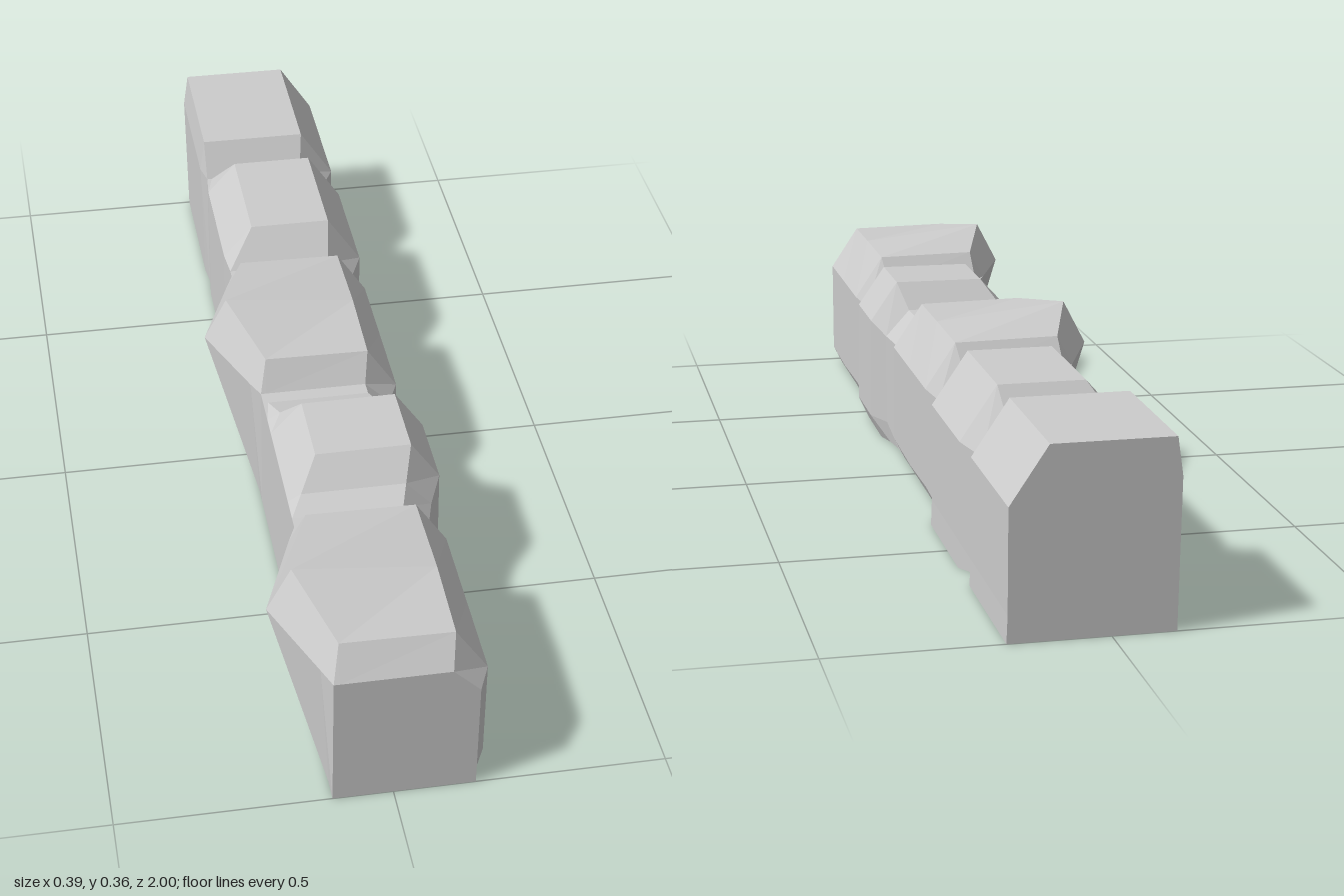
import * as THREE from 'three';

// Cross-section outlines, clockwise from the bottom left corner:
// base, left shoulder, top left, top right, right shoulder, right foot, base right
const groove = [[-0.11, 0], [-0.11, 0.275], [-0.1, 0.275], [0.1, 0.275], [0.15, 0.225], [0.15, 0.04], [0.15, 0]];
const bigEdge = [[-0.11, 0], [-0.126, 0.275], [-0.095, 0.333], [0.11, 0.33], [0.17, 0.24], [0.17, 0.04], [0.15, 0]];
const bigPeak = [[-0.11, 0], [-0.195, 0.275], [-0.15, 0.362], [0.112, 0.333], [0.17, 0.24], [0.17, 0.035], [0.15, 0]];
const ramp = [[-0.11, 0], [-0.11, 0.275], [-0.085, 0.29], [0.115, 0.29], [0.165, 0.235], [0.165, 0.045], [0.158, 0]];
const small = [[-0.11, 0], [-0.11, 0.275], [-0.05, 0.341], [0.133, 0.342], [0.19, 0.26], [0.193, 0.05], [0.17, 0]];
const plain = [[-0.115, 0], [-0.115, 0.275], [-0.055, 0.343], [0.11, 0.343], [0.18, 0.24], [0.181, 0.05], [0.183, 0]];
const rear = [[-0.115, 0], [-0.12, 0.275], [-0.11, 0.345], [0.11, 0.345], [0.18, 0.24], [0.181, 0.05], [0.183, 0]];

// Stations from front to back
const stations = [
  // front stone with a bulge on its left edge
  [1, groove], [0.96, bigEdge], [0.79, bigPeak], [0.612, bigEdge], [0.575, groove],
  // small stone with sloping ends
  [0.55, groove], [0.5, ramp], [0.45, small], [0.29, small], [0.245, ramp], [0.19, groove],
  // middle bulging stone
  [0.16, groove], [0.125, bigEdge], [-0.05, bigPeak], [-0.222, bigEdge], [-0.26, groove],
  // two plain stones
  [-0.28, groove], [-0.34, plain], [-0.6, plain], [-0.655, groove], [-0.7, rear], [-1, rear],
];

function loft(list) {
  const pos = [];
  const n = list[0][1].length;
  const add = (...corners) => corners.forEach(([i, j]) => {
    const [z, outline] = list[i];
    pos.push(...outline[j % n], z);
  });
  // skin between neighbouring sections
  for (let i = 0; i < list.length - 1; i++) {
    for (let j = 0; j < n; j++) {
      add([i, j], [i, j + 1], [i + 1, j + 1]);
      add([i, j], [i + 1, j + 1], [i + 1, j]);
    }
  }
  // end caps
  const last = list.length - 1;
  for (let j = 1; j < n - 1; j++) {
    add([0, 0], [0, j + 1], [0, j]);
    add([last, 0], [last, j], [last, j + 1]);
  }
  const geometry = new THREE.BufferGeometry();
  geometry.setAttribute('position', new THREE.Float32BufferAttribute(pos, 3));
  geometry.computeVertexNormals();
  return geometry;
}

export function createModel() {
  const group = new THREE.Group();
  group.name = 'stoneKerb';
  const material = new THREE.MeshStandardMaterial({ color: 0xcccccc, flatShading: true });
  const stones = new THREE.Mesh(loft(stations), material);
  stones.name = 'stoneRow';
  group.add(stones);
  return group;
}
